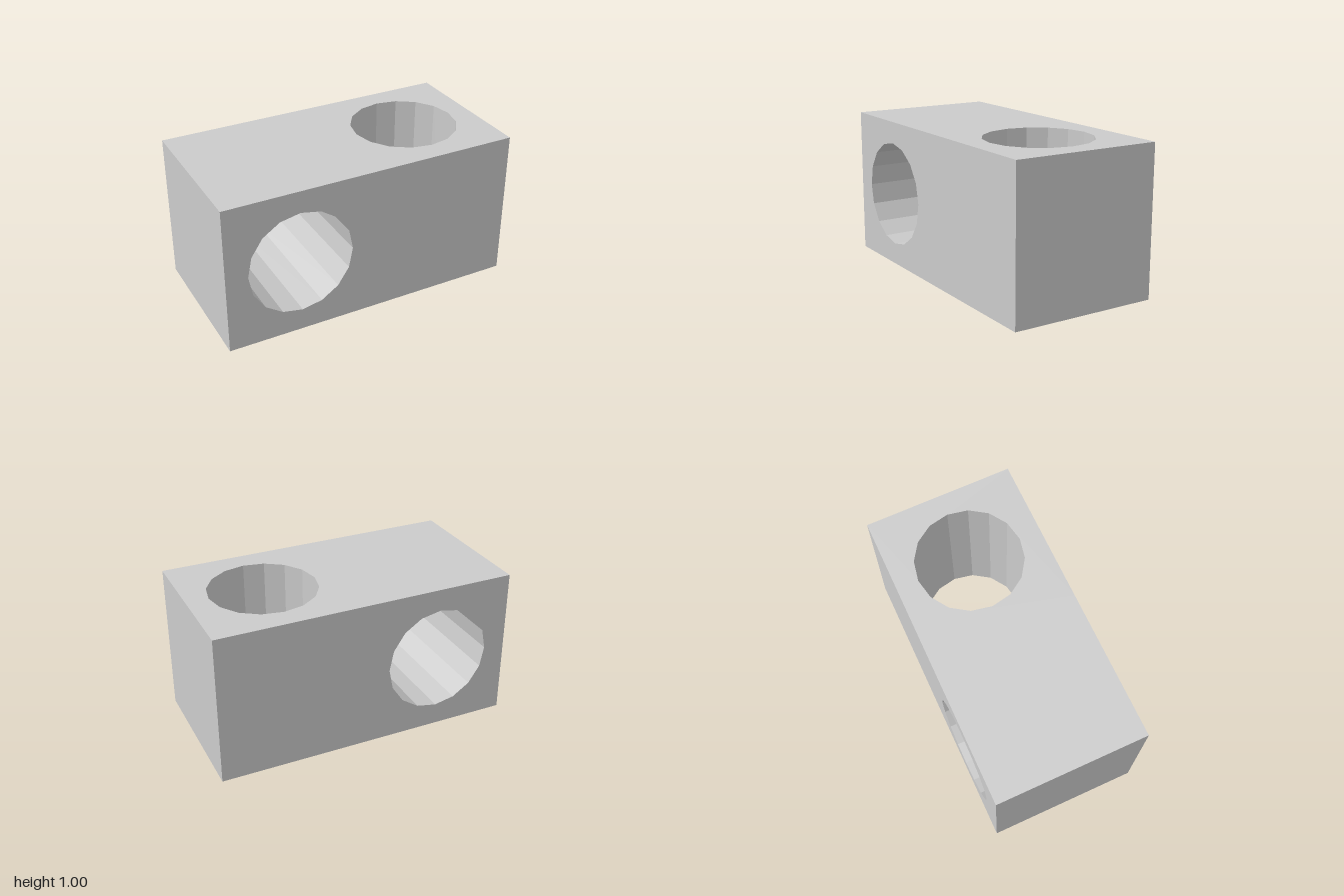
import * as THREE from 'three';
import { mergeGeometries } from 'three/addons/utils/BufferGeometryUtils.js';

const HOLE_RADIUS = 0.3536;
const HOLE_SIDES = 16;

// Unit cube centred on the origin, with a faceted hole bored along z
function boredCube() {
  const shape = new THREE.Shape([
    new THREE.Vector2(-0.5, -0.5), new THREE.Vector2(0.5, -0.5),
    new THREE.Vector2(0.5, 0.5), new THREE.Vector2(-0.5, 0.5),
  ]);
  const rim = [];
  for (let i = 0; i < HOLE_SIDES; i++) {
    const a = (-i / HOLE_SIDES) * Math.PI * 2;
    rim.push(new THREE.Vector2(Math.cos(a) * HOLE_RADIUS, Math.sin(a) * HOLE_RADIUS));
  }
  shape.holes.push(new THREE.Path(rim));
  return new THREE.ExtrudeGeometry(shape, { depth: 1, bevelEnabled: false }).translate(0, 0, -0.5);
}

// Drop the hidden wall where the two halves meet at x = 0
function withoutSeam(geometry) {
  const p = geometry.attributes.position;
  const kept = [];
  for (let i = 0; i < p.count; i += 3) {
    const onSeam = [0, 1, 2].every((k) => Math.abs(p.getX(i + k)) < 1e-5);
    if (onSeam) continue;
    for (let k = 0; k < 3; k++) kept.push(p.getX(i + k), p.getY(i + k), p.getZ(i + k));
  }
  const out = new THREE.BufferGeometry();
  out.setAttribute('position', new THREE.Float32BufferAttribute(kept, 3));
  out.computeVertexNormals();
  return out;
}

export function createModel() {
  const group = new THREE.Group();
  group.name = 'boredBlock';

  // Right half is bored front to back, left half top to bottom
  const rightHalf = boredCube().translate(-0.5, 0.5, 0);
  const leftHalf = boredCube().rotateX(-Math.PI / 2).translate(0.5, 0.5, 0);

  const block = new THREE.Mesh(
    mergeGeometries([withoutSeam(rightHalf), withoutSeam(leftHalf)]),
    new THREE.MeshStandardMaterial({ color: 0xcccccc, flatShading: true }),
  );
  block.name = 'block';
  group.add(block);
  return group;
}
